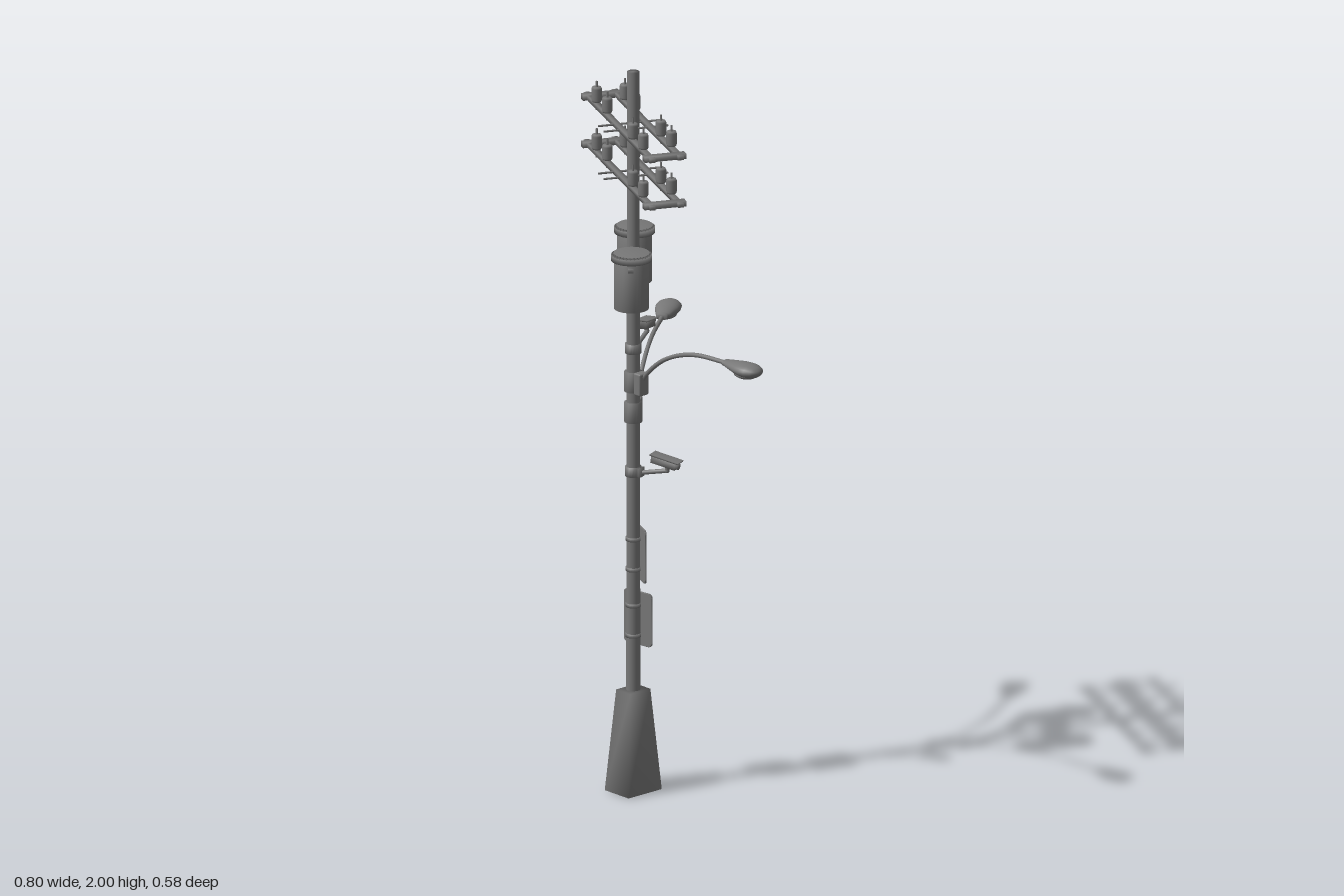
import * as THREE from 'three';
import { RoundedBoxGeometry } from 'three/addons/geometries/RoundedBoxGeometry.js';
import { mergeVertices } from 'three/addons/utils/BufferGeometryUtils.js';

const darkGrey = new THREE.MeshStandardMaterial({ color: 0x777777 });

// Weld all corners so that shading flows softly over every edge
function soften(geometry) {
  geometry.deleteAttribute('normal');
  geometry.deleteAttribute('uv');
  const welded = mergeVertices(geometry, 1e-5);
  welded.computeVertexNormals();
  return welded;
}

function add(parent, name, geometry, x = 0, y = 0, z = 0) {
  const mesh = new THREE.Mesh(soften(geometry), darkGrey);
  mesh.name = name;
  mesh.position.set(x, y, z);
  parent.add(mesh);
  return mesh;
}

// Group whose local +x points along (dx, dz) on the ground plane
function facing(parent, name, y, dx, dz) {
  const g = new THREE.Group();
  g.name = name;
  g.position.y = y;
  g.rotation.y = Math.atan2(-dz, dx);
  parent.add(g);
  return g;
}

const cyl = (r, h, n = 20, r2 = r) => new THREE.CylinderGeometry(r2, r, h, n);
const box = (w, h, d) => new THREE.BoxGeometry(w, h, d);
const lathe = (pts, n = 24) => new THREE.LatheGeometry(pts.map(p => new THREE.Vector2(...p)), n);

// Pair of crossarms with end rungs, through bolts and insulators
function crossarm(parent, y) {
  const g = facing(parent, 'crossarm', y, 0.91, 0.416);
  for (const side of [-1, 1]) {
    const z = side * 0.039;
    add(g, 'armBar', box(0.584, 0.012, 0.016), 0.003, 0, z);
    add(g, 'endRung', box(0.021, 0.015, 0.115), 0.003 + side * 0.27, 0, 0);
    add(g, 'throughBolt', cyl(0.003, 0.178, 8), side * 0.024, 0, 0).rotation.x = Math.PI / 2;
    for (const x of [-0.197, -0.105, 0.12, 0.212]) {
      add(g, 'insulatorPin', cyl(0.003, 0.08, 8), x, 0.025, z);
      add(g, 'insulator', lathe([[0, 0.008], [0.012, 0.008], [0.014, 0.013], [0.014, 0.044],
        [0.012, 0.049], [0, 0.049]], 16), x, 0, z);
    }
  }
}

// Drum transformer on a twin bracket
function transformer(parent, dx, dz) {
  const g = facing(parent, 'transformer', 1.38, dx, dz);
  const r = 0.116;
  add(g, 'tank', cyl(0.046, 0.135, 32), r, 0.0675, 0);
  add(g, 'lidRim', cyl(0.054, 0.016, 32), r, 0.142, 0);
  add(g, 'lid', cyl(0.054, 0.005, 32, 0.047), r, 0.1525, 0);
  add(g, 'lug', box(0.012, 0.012, 0.014), r + 0.048, 0.12, 0);
  for (const y of [0.055, 0.1]) {
    add(g, 'bracketArm', box(0.06, 0.012, 0.024), 0.045, y, 0);
    add(g, 'bracketBand', cyl(0.021, 0.014), 0, y, 0);
  }
  add(g, 'bracketPlate', box(0.008, 0.07, 0.03), 0.036, 0.078, 0);
  add(g, 'tankPlate', box(0.01, 0.07, 0.03), 0.07, 0.078, 0);
}

// Curved street lamp with a flattened teardrop head
function lamp(parent, y, dx, dz) {
  const g = facing(parent, 'streetLamp', y, dx, dz);
  add(g, 'collar', cyl(0.024, 0.055), 0, 0, 0);
  add(g, 'armSocket', new RoundedBoxGeometry(0.026, 0.062, 0.034, 2, 0.005), 0.031, 0, 0);
  const path = new THREE.CatmullRomCurve3([[0.03, 0], [0.045, 0.024], [0.105, 0.078],
    [0.17, 0.112], [0.25, 0.134], [0.375, 0.142]].map(p => new THREE.Vector3(p[0], p[1], 0)));
  add(g, 'curvedArm', new THREE.TubeGeometry(path, 32, 0.006, 10));
  const shell = lathe([[0, 0], [0.013, 0], [0.016, 0.002], [0.016, 0.014], [0.019, 0.016], [0.025, 0.038],
    [0.032, 0.064], [0.0345, 0.085], [0.033, 0.104], [0.025, 0.121], [0.012, 0.129], [0, 0.131]]);
  shell.rotateZ(-Math.PI / 2).scale(1, 0.55, 1);
  add(g, 'lampHead', shell, 0.363, 0.143, 0);
  const lens = new THREE.SphereGeometry(1, 20, 12).scale(0.036, 0.012, 0.025);
  add(g, 'lampLens', lens, 0.44, 0.129, 0);
}

// Surveillance camera on a rising arm
function camera(parent, y, dx, dz) {
  const g = facing(parent, 'camera', y, dx, dz);
  add(g, 'collar', cyl(0.022, 0.026), 0, 0, 0);
  add(g, 'mountPlate', box(0.012, 0.024, 0.022), 0.022, 0, 0);
  const arm = add(g, 'mountArm', cyl(0.006, 0.085, 10), 0.062, 0.007, 0);
  arm.rotation.z = -1.35;
  add(g, 'mountPost', cyl(0.006, 0.025, 10), 0.1, 0.024, 0);
  const head = new THREE.Group();
  head.name = 'cameraHead';
  head.position.set(0.094, 0.039, 0);
  head.rotation.z = -0.17;
  g.add(head);
  add(head, 'housing', box(0.072, 0.02, 0.027), 0, 0, 0);
  add(head, 'hood', box(0.084, 0.004, 0.034), 0.002, 0.012, 0);
  add(head, 'lens', cyl(0.009, 0.008, 16), 0.038, -0.001, 0).rotation.z = Math.PI / 2;
}

// Rounded sign panel strapped to the pole; local +x is its facing direction
function sign(parent, y, width, dx, dz) {
  const g = facing(parent, 'signPanel', y, dx, dz);
  const w = width / 2, h = 0.074, r = 0.012;
  const s = new THREE.Shape();
  s.absarc(w - r, h - r, r, 0, Math.PI / 2);
  s.absarc(r - w, h - r, r, Math.PI / 2, Math.PI);
  s.absarc(r - w, r - h, r, Math.PI, Math.PI * 1.5);
  s.absarc(w - r, r - h, r, Math.PI * 1.5, Math.PI * 2);
  const panel = new THREE.ExtrudeGeometry(s, { depth: 0.005, bevelEnabled: false, curveSegments: 5 });
  add(g, 'panel', panel.rotateY(Math.PI / 2), 0.0175, 0, 0);
  for (const dy of [-0.042, 0.042]) add(g, 'strap', cyl(0.0205, 0.01), 0, dy, 0);
}

export function createModel() {
  const model = new THREE.Group();
  model.name = 'utilityPole';
  const pole = new THREE.Group();
  pole.name = 'poleAssembly';
  pole.position.set(-0.094, 0, 0.114);
  model.add(pole);

  add(pole, 'shaft', cyl(0.019, 1.8, 24, 0.0165), 0, 1.1, 0);

  // Tapered square footing
  const base = box(0.094, 0.28, 0.118);
  const p = base.attributes.position;
  for (let i = 0; i < p.count; i++) {
    if (p.getY(i) > 0) p.setXYZ(i, p.getX(i) * 0.6, p.getY(i), p.getZ(i) * 0.6);
  }
  add(pole, 'footing', base, 0, 0.14, 0);

  crossarm(pole, 1.717);
  crossarm(pole, 1.849);
  transformer(pole, -1, -0.96);
  transformer(pole, 1, 0.98);
  lamp(pole, 1.138, 1, 0);
  lamp(pole, 1.053, -0.588, -0.809);
  camera(pole, 1.23, -0.45, -0.89);
  camera(pole, 0.888, 0.93, -0.36);
  sign(pole, 0.658, 0.095, 0.42, -0.9);
  sign(pole, 0.474, 0.097, -0.12, -1);
  return model;
}
